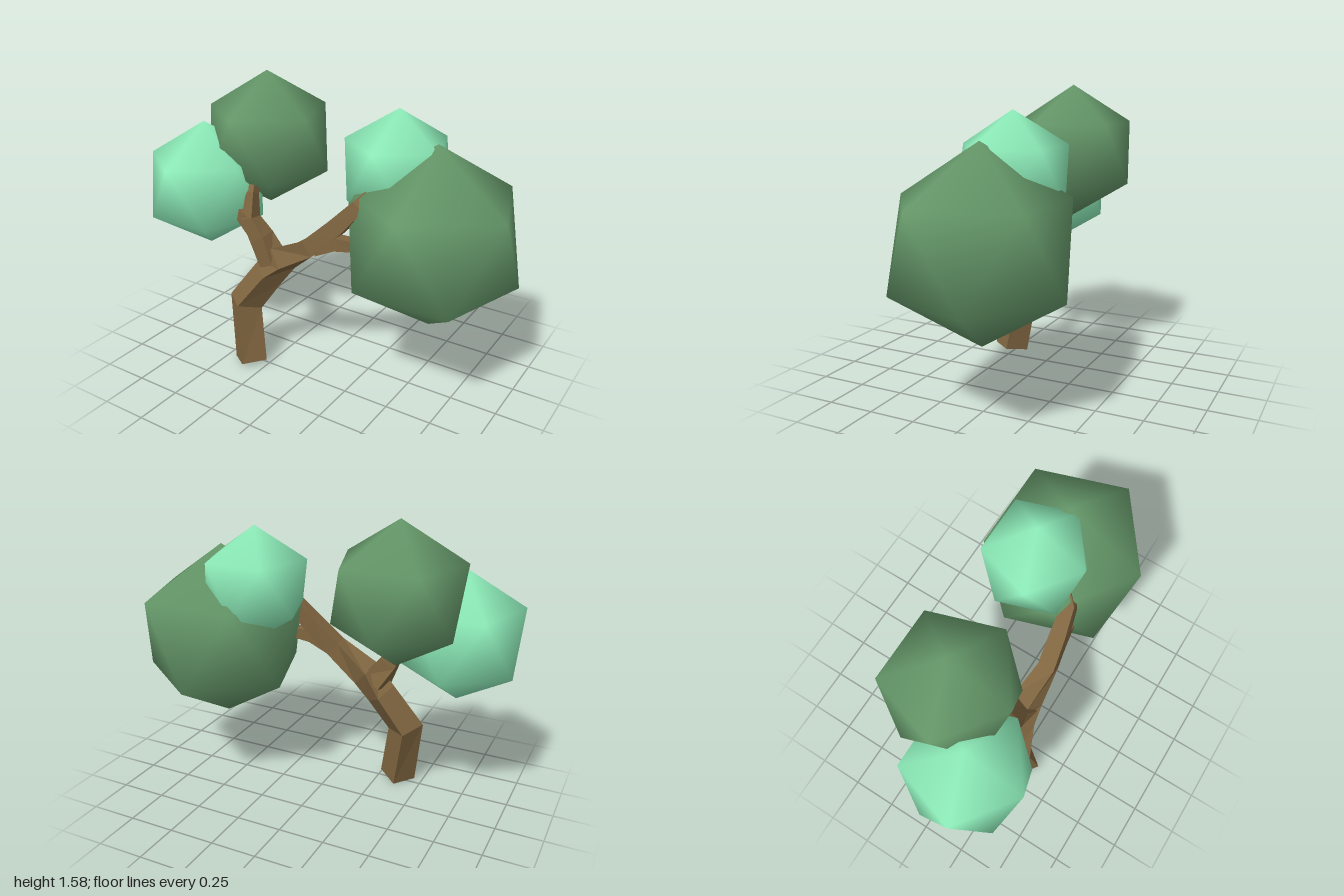
import * as THREE from 'three';

const bark = new THREE.MeshStandardMaterial({ color: 0x7f6540, flatShading: true });
const darkLeaf = new THREE.MeshStandardMaterial({ color: 0x66996a });
const lightLeaf = new THREE.MeshStandardMaterial({ color: 0x8fefbb });

// Four-sided limb swept through rings of [x, y, z, half diagonal, twist in degrees]
function limb(name, rings) {
  const centres = rings.map(([x, y, z]) => new THREE.Vector3(x, y, z));
  const last = rings.length - 1;
  const positions = [];
  const index = [];
  rings.forEach(([, , , r, twist], i) => {
    const into = centres[i].clone().sub(centres[Math.max(i - 1, 0)]).normalize();
    const out = centres[Math.min(i + 1, last)].clone().sub(centres[i]).normalize();
    const t = into.add(out).normalize();
    const u = new THREE.Vector3(0, 0, 1).projectOnPlane(t).normalize();
    const v = new THREE.Vector3().crossVectors(t, u);
    for (let k = 0; k < 4; k++) {
      const a = THREE.MathUtils.degToRad(twist + 90 * k);
      const p = centres[i].clone().addScaledVector(u, r * Math.cos(a)).addScaledVector(v, r * Math.sin(a));
      positions.push(p.x, Math.max(p.y, 0), p.z);
      if (i < last) {
        const b = i * 4 + k, c = i * 4 + (k + 1) % 4;
        index.push(b, c, c + 4, b, c + 4, b + 4);
      }
    }
  });
  const e = last * 4;
  index.push(0, 2, 1, 0, 3, 2, e, e + 1, e + 2, e, e + 2, e + 3); // end caps
  const geometry = new THREE.BufferGeometry();
  geometry.setAttribute('position', new THREE.Float32BufferAttribute(positions, 3));
  geometry.setIndex(index);
  geometry.computeVertexNormals();
  const mesh = new THREE.Mesh(geometry, bark);
  mesh.name = name;
  return mesh;
}

// Unit icosahedron standing on a point, with shared vertices for smooth shading
function crownGeometry() {
  const h = 1 / Math.sqrt(5), r = 2 * h;
  const positions = [0, 1, 0, 0, -1, 0];
  const index = [];
  for (let k = 0; k < 5; k++) {
    const a = k * Math.PI * 0.4, b = a + Math.PI * 0.2;
    positions.push(r * Math.sin(a), h, r * Math.cos(a), r * Math.sin(b), -h, r * Math.cos(b));
    const up = 2 + 2 * k, low = up + 1;
    const nextUp = 2 + 2 * ((k + 1) % 5), nextLow = nextUp + 1;
    index.push(0, up, nextUp, up, low, nextUp, low, nextLow, nextUp, 1, nextLow, low);
  }
  const geometry = new THREE.BufferGeometry();
  geometry.setAttribute('position', new THREE.Float32BufferAttribute(positions, 3));
  geometry.setIndex(index);
  geometry.computeVertexNormals();
  return geometry;
}

export function createModel() {
  const tree = new THREE.Group();
  tree.name = 'tree';

  // Bent trunk, running on into the right-hand bough
  tree.add(limb('trunk', [
    [-0.355, 0.018, 0.28, 0.1, 8],
    [-0.405, 0.355, 0.24, 0.1, 8],
    [-0.27, 0.55, 0.195, 0.088, 8],
    [-0.18, 0.655, 0.19, 0.085, 25],
    [0.01, 0.778, 0.2, 0.066, 45],
    [0.15, 0.91, 0.18, 0.062, 45],
    [0.27, 1.04, 0.16, 0.05, 45],
    [0.34, 1.13, 0.08, 0.04, 45],
  ]));
  tree.add(limb('lowerRightBranch', [
    [0.04, 0.785, 0.2, 0.058, 45],
    [0.15, 0.83, 0.19, 0.05, 45],
    [0.26, 0.837, 0.18, 0.04, 45],
    [0.4, 0.85, 0.14, 0.035, 45],
  ]));

  // Left bough and its side branch
  tree.add(limb('leftBough', [
    [-0.24, 0.62, 0.19, 0.085, 30],
    [-0.315, 0.75, 0.195, 0.068, 45],
    [-0.38, 0.85, 0.2, 0.052, 45],
    [-0.385, 0.98, 0.17, 0.035, 45],
    [-0.42, 1.1, 0.08, 0.03, 45],
  ]));
  tree.add(limb('sideBranch', [
    [-0.33, 0.77, 0.195, 0.06, 45],
    [-0.42, 0.85, 0.2, 0.048, 45],
    [-0.55, 0.92, 0.19, 0.035, 45],
  ]));

  // Leaf crowns: name, centre, radius, material
  const geometry = crownGeometry();
  const crowns = [
    ['largeRightCrown', 0.578, 0.867, -0.042, 0.489, darkLeaf],
    ['smallRightCrown', 0.34, 1.18, -0.09, 0.306, lightLeaf],
    ['upperLeftCrown', -0.445, 1.215, -0.07, 0.37, darkLeaf],
    ['lowerLeftCrown', -0.7, 0.972, 0.166, 0.353, lightLeaf],
  ];
  for (const [name, x, y, z, r, material] of crowns) {
    const crown = new THREE.Mesh(geometry, material);
    crown.name = name;
    crown.position.set(x, y, z);
    crown.scale.setScalar(r);
    tree.add(crown);
  }
  return tree;
}
